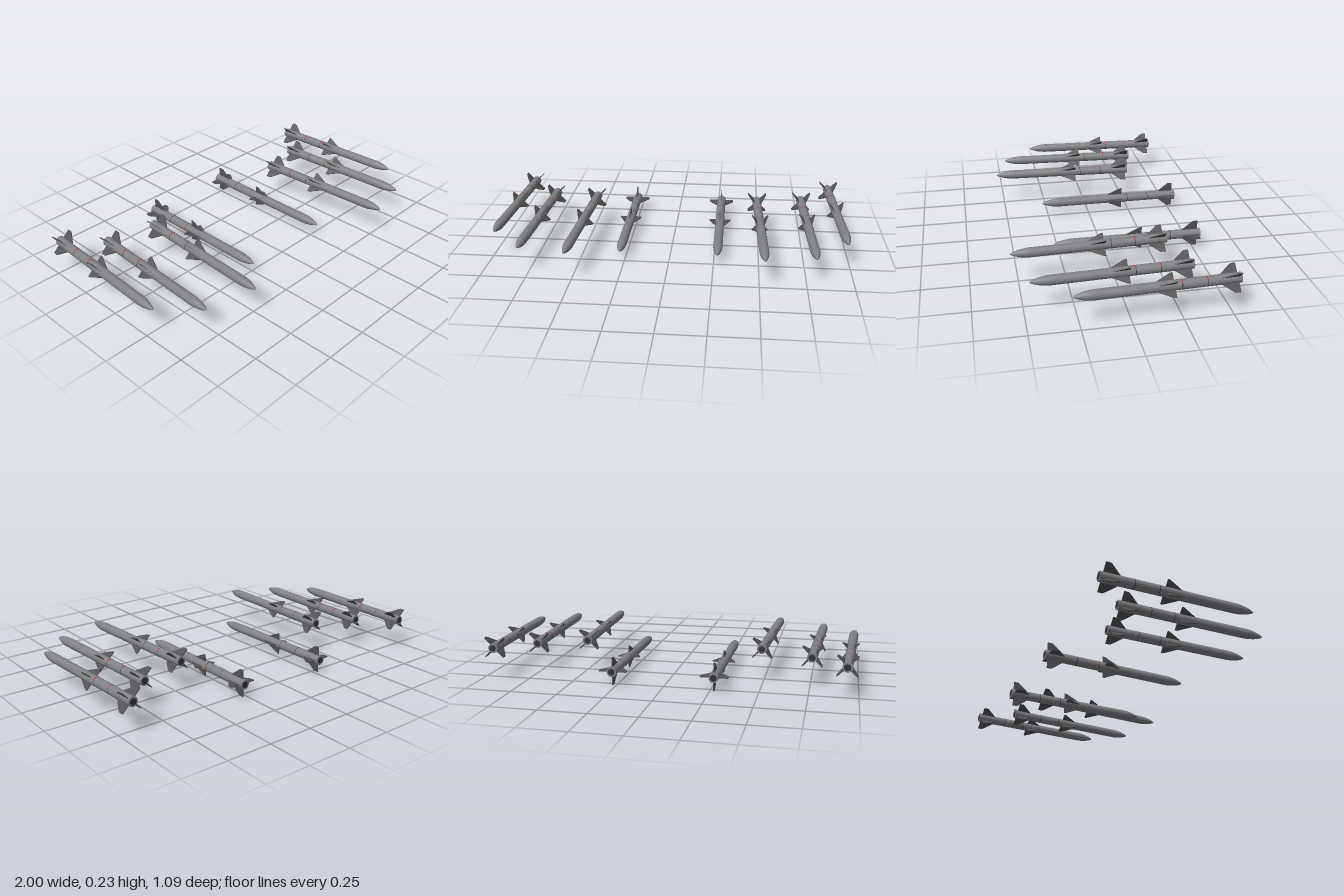
import * as THREE from 'three';

const mat = (name, color) => {
  const m = new THREE.MeshStandardMaterial({ color });
  m.name = name;
  return m;
};

export function createModel() {
  const bodyGrey = mat('bodyGrey', 0x808184);
  const finGrey = mat('finGrey', 0x525254);
  const lineBlack = mat('lineBlack', 0x303032);
  const bandRed = mat('bandRed', 0xc02a2a);
  const markYellow = mat('markYellow', 0xa89a3c);
  const R = 0.026;

  // Body: straight tube with a pointed ogive nose, running along z
  const profile = [[R, -0.415], [R, 0], [R, 0.31], [0.0245, 0.335], [0.02, 0.363],
    [0.013, 0.389], [0.006, 0.407], [0, 0.415]].map(([r, y]) => new THREE.Vector2(r, y));
  const bodyGeo = new THREE.LatheGeometry(profile, 20).rotateX(Math.PI / 2);
  const tailGeo = new THREE.CircleGeometry(R, 20).rotateY(Math.PI);
  const nozzleGeo = new THREE.CircleGeometry(0.018, 16).rotateY(Math.PI);

  // Fin plate: outline in (radius, z), extruded to a thin slab
  const finGeo = (points, t = 0.005) => {
    const shape = new THREE.Shape(points.map(([r, z]) => new THREE.Vector2(r, z)));
    return new THREE.ExtrudeGeometry(shape, { depth: t, bevelEnabled: false })
      .translate(0, 0, -t / 2).rotateX(Math.PI / 2);
  };
  const tailFin = finGeo([[0.02, -0.4], [0.074, -0.4], [0.074, -0.375], [0.066, -0.363], [0.024, -0.31], [0.02, -0.31]]);
  const midFin = finGeo([[0.02, -0.08], [0.063, -0.08], [0.062, -0.068], [0.024, 0.013], [0.02, 0.013]]);

  // Thin arc of paint wrapped on the body, centred on a given angle
  const arc = (r, width, mid, span) => new THREE.CylinderGeometry(r, r, width, 20, 1, true, mid - span / 2, span)
    .rotateX(Math.PI / 2);

  const add = (parent, name, geo, material, z = 0) => {
    const m = new THREE.Mesh(geo, material);
    m.name = name;
    m.position.z = z;
    parent.add(m);
    return m;
  };

  function missile(side, { name, roll, redMid, redBands }) {
    const g = new THREE.Group();
    g.name = name;
    add(g, 'body', bodyGeo, bodyGrey);
    add(g, 'tailCap', tailGeo, bodyGrey, -0.415);
    add(g, 'nozzle', nozzleGeo, lineBlack, -0.416);
    for (let i = 0; i < 4; i++) {
      const a = roll + i * Math.PI / 2;
      add(g, 'tailFin', tailFin, finGrey).rotation.z = a;
      add(g, 'midFin', midFin, finGrey).rotation.z = a;
    }
    // Seam rings with red arcs over them
    for (const z of [-0.24, -0.112]) add(g, 'seamRing', arc(R + 0.0003, 0.003, 0, Math.PI * 2), lineBlack, z);
    for (const z of redBands) add(g, 'redBand', arc(R + 0.0007, 0.005, redMid, 1.8), bandRed, z);
    // Small yellow mark just behind the middle fins
    add(g, 'yellowMark', arc(R + 0.0006, 0.004, Math.PI + side * 0.7, 0.35), markYellow, 0.05);
    return g;
  }

  const model = new THREE.Group();
  model.name = 'missileSet';
  const up = Math.PI;
  for (const side of [-1, 1]) {
    const specs = [
      { name: 'innerMissile', x: 0.271, y: 0.077, z: -0.13, yaw: 0, roll: 0, redMid: side * Math.PI / 2, redBands: [-0.112] },
      { name: 'thirdMissile', x: 0.506, y: 0.178, z: 0.125, yaw: 0.045, roll: Math.PI / 4, redMid: up, redBands: [-0.24] },
      { name: 'secondMissile', x: 0.775, y: 0.164, z: 0.055, yaw: 0.045, roll: Math.PI / 4, redMid: up, redBands: [-0.24, -0.112] },
      { name: 'outerMissile', x: 0.955, y: 0.171, z: -0.128, yaw: 0.045, roll: Math.PI / 4, redMid: up, redBands: [-0.24, -0.112] },
    ];
    for (const s of specs) {
      const g = missile(side, s);
      g.position.set(side * s.x, s.y, s.z);
      g.rotation.y = side * s.yaw;
      model.add(g);
    }
  }
  return model;
}
